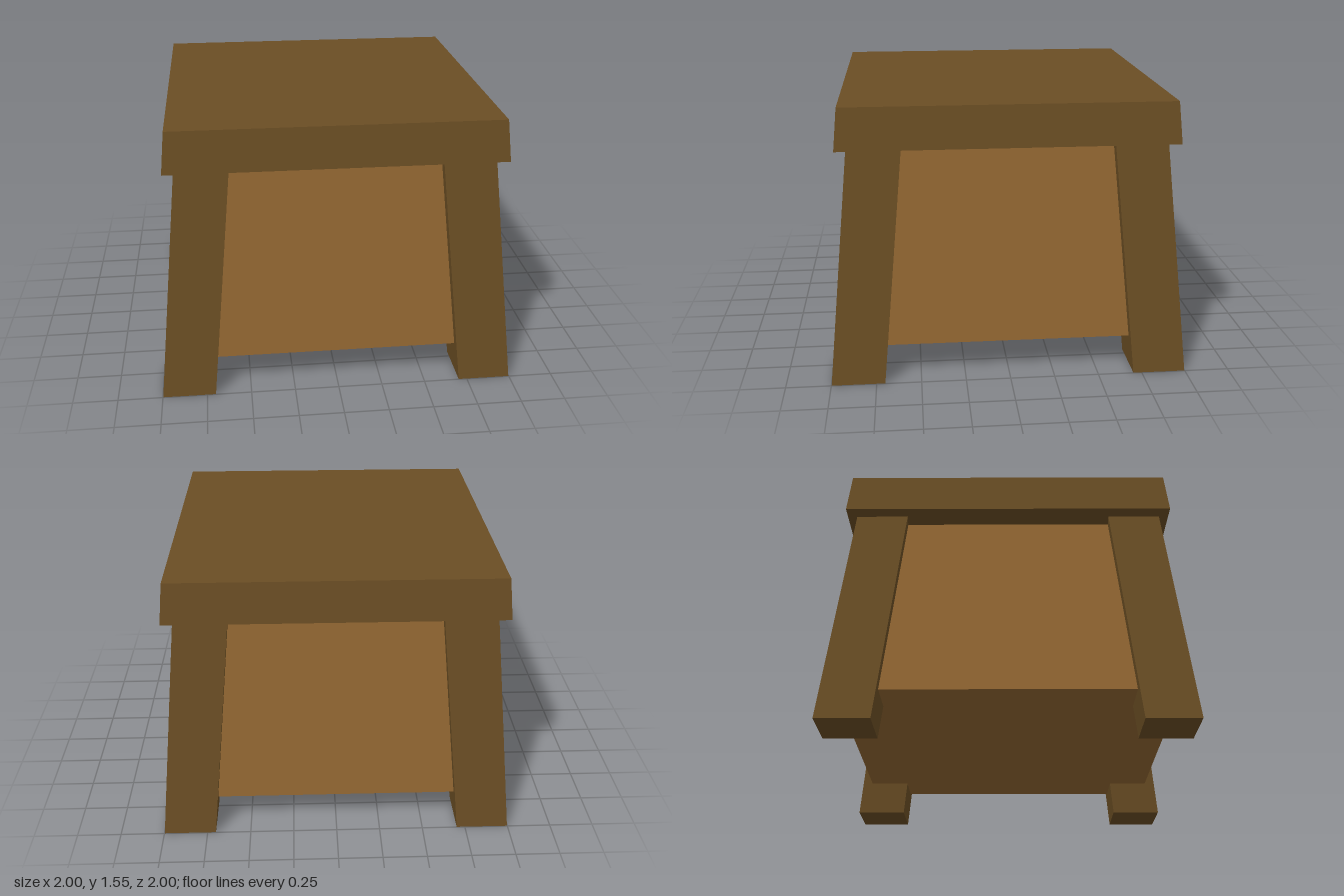
import * as THREE from 'three';

// Box whose top and bottom are squares [centreX, centreZ, halfWidth] at heights y0 and y1.
function taperedBlock(y0, bottom, y1, top) {
  const geometry = new THREE.BoxGeometry(2, 2, 2);
  const p = geometry.attributes.position;
  for (let i = 0; i < p.count; i++) {
    const upper = p.getY(i) > 0;
    const [cx, cz, half] = upper ? top : bottom;
    p.setXYZ(i, cx + p.getX(i) * half, upper ? y1 : y0, cz + p.getZ(i) * half);
  }
  geometry.computeVertexNormals();
  return geometry;
}

export function createModel() {
  const model = new THREE.Group();
  model.name = 'stool';

  const darkWood = new THREE.MeshStandardMaterial({ color: 0x6b4e24 });
  darkWood.name = 'darkWood';
  const lightWood = new THREE.MeshStandardMaterial({ color: 0x936732 });
  lightWood.name = 'lightWood';

  const add = (name, geometry, material) => {
    const mesh = new THREE.Mesh(geometry, material);
    mesh.name = name;
    model.add(mesh);
  };

  // Panelled body, widening towards the bottom
  add('body', taperedBlock(0.195, [0, 0, 0.918], 1.3, [0, 0, 0.81]), lightWood);

  // Seat slab with a shallow bevelled underside
  add('seat', taperedBlock(1.318, [0, 0, 0.93], 1.55, [0, 0, 0.908]), darkWood);
  add('seatUnderside', taperedBlock(1.285, [0, 0, 0.8], 1.318, [0, 0, 0.93]), darkWood);

  // Four square legs splayed out at the corners
  for (const [side, sx] of [['Left', 1], ['Right', -1]]) {
    for (const [end, sz] of [['front', 1], ['back', -1]]) {
      const foot = [sx * 0.85, sz * 0.85, 0.148];
      const head = [sx * 0.725, sz * 0.725, 0.146];
      add(`${end}${side}Leg`, taperedBlock(0, foot, 1.317, head), darkWood);
    }
  }

  return model;
}
